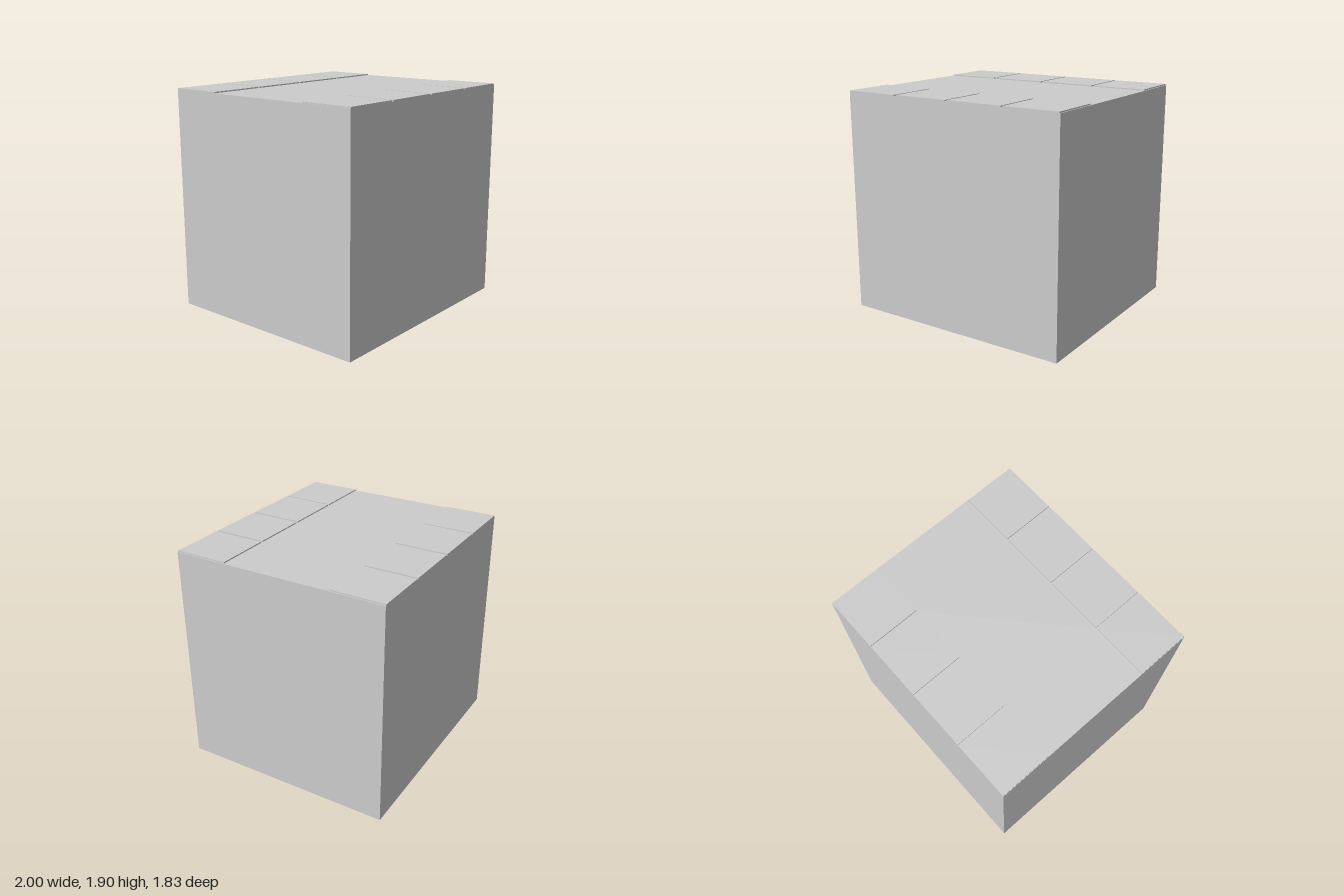
import * as THREE from 'three';

export function createModel() {
  const group = new THREE.Group();
  const material = new THREE.MeshStandardMaterial({ color: 0xcccccc, flatShading: true });
  const bodyTop = 1.888, padTop = 1.898, halfDepth = 0.916, padInner = 0.467;

  // Box spanning the given ranges on each axis
  function addBox(name, [x0, x1], [y0, y1], [z0, z1]) {
    const mesh = new THREE.Mesh(new THREE.BoxGeometry(x1 - x0, y1 - y0, z1 - z0), material);
    mesh.position.set((x0 + x1) / 2, (y0 + y1) / 2, (z0 + z1) / 2);
    mesh.name = name;
    group.add(mesh);
  }

  // Solid block
  addBox('body', [-1, 1], [0, bodyTop], [-halfDepth, halfDepth]);

  // Thin raised panels along the front and back edges, with narrow gaps between
  const panels = [[-0.996, -0.519], [-0.501, -0.011], [0.007, 0.5], [0.518, 0.991]];
  panels.forEach((span, i) => {
    addBox(`frontTopPanel${i + 1}`, span, [bodyTop, padTop], [padInner, halfDepth]);
    addBox(`backTopPanel${i + 1}`, span, [bodyTop, padTop], [-halfDepth, -padInner]);
  });

  return group;
}
